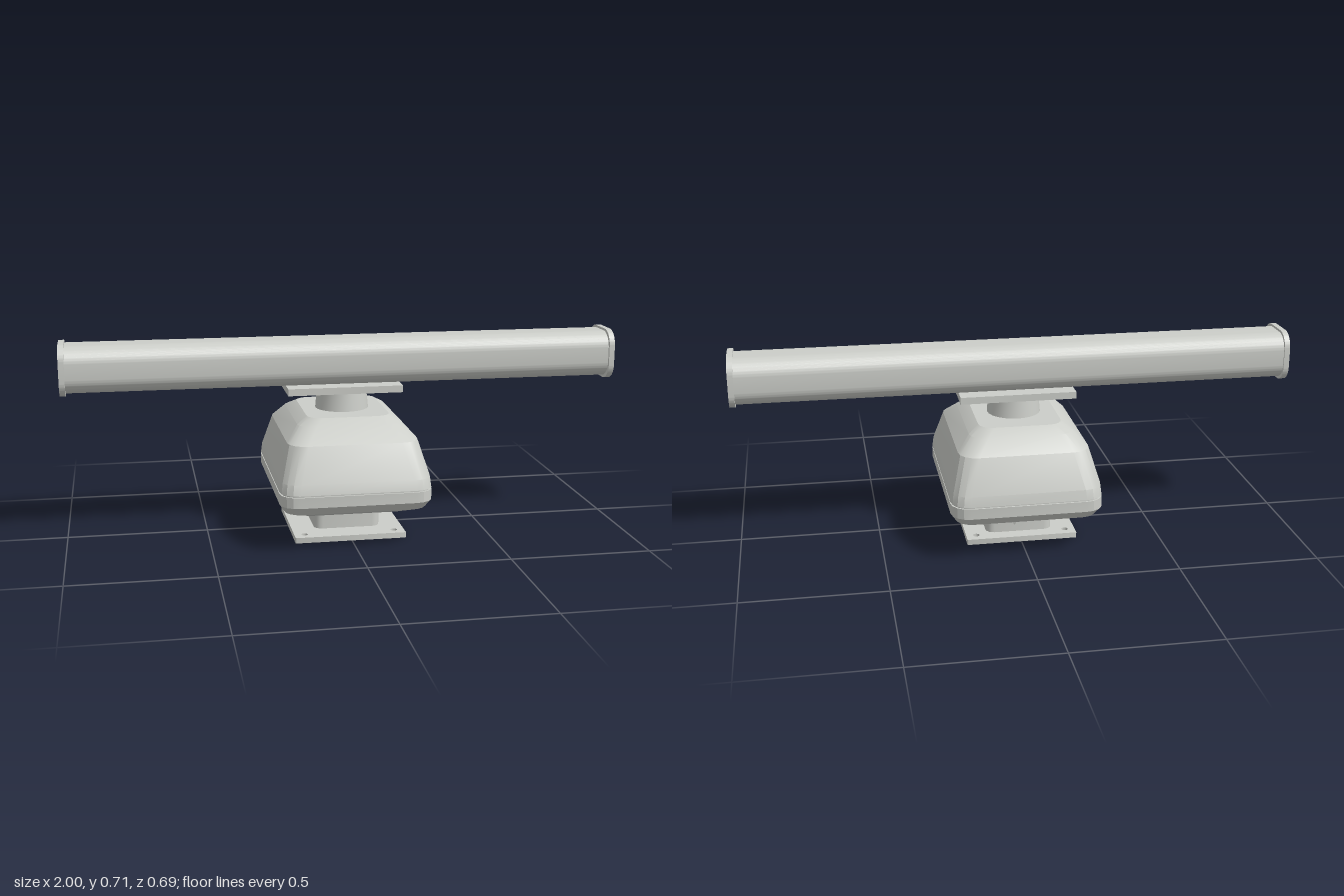
import * as THREE from 'three';
import { toCreasedNormals } from 'three/addons/utils/BufferGeometryUtils.js';

const paint = new THREE.MeshStandardMaterial({ color: 0xcccec9 });
paint.name = 'lightGreyPaint';

function add(parent, name, geometry, x = 0, y = 0, z = 0, crease = 0.5) {
  const mesh = new THREE.Mesh(toCreasedNormals(geometry, crease), paint);
  mesh.name = name;
  mesh.position.set(x, y, z);
  parent.add(mesh);
  return mesh;
}

// Rounded rectangle centred on the origin, half sizes a and b
function roundedRect(a, b, r) {
  const s = new THREE.Shape();
  s.absarc(a - r, b - r, r, 0, Math.PI / 2);
  s.absarc(r - a, b - r, r, Math.PI / 2, Math.PI);
  s.absarc(r - a, r - b, r, Math.PI, Math.PI * 1.5);
  s.absarc(a - r, r - b, r, Math.PI * 1.5, Math.PI * 2);
  s.closePath();
  return s;
}

// Closed loft through rounded rectangles: [y, halfX, zFront, zBack, radius]
function loft(rings, seg = 4) {
  const pos = [], index = [], n = 4 * (seg + 1);
  for (const [y, hx, zf, zb, r] of rings) {
    const hz = (zf - zb) / 2, cz = (zf + zb) / 2;
    for (let q = 0; q < 4; q++) {
      const sx = q === 0 || q === 3 ? 1 : -1, sz = q < 2 ? -1 : 1;
      for (let i = 0; i <= seg; i++) {
        const t = (q + i / seg) * Math.PI / 2;
        pos.push(sx * (hx - r) + r * Math.cos(t), y, cz + sz * (hz - r) - r * Math.sin(t));
      }
    }
  }
  const last = (rings.length - 1) * n;
  for (let k = 0; k < last; k += n) {
    for (let i = 0; i < n; i++) {
      const a = k + i, b = k + (i + 1) % n;
      index.push(a, b, b + n, a, b + n, a + n);
    }
  }
  for (let i = 1; i < n - 1; i++) {
    index.push(0, i + 1, i, last, last + i, last + i + 1);
  }
  const g = new THREE.BufferGeometry();
  g.setAttribute('position', new THREE.Float32BufferAttribute(pos, 3));
  g.setIndex(index);
  return g;
}

function extrudeAlongX(shape, length) {
  return new THREE.ExtrudeGeometry(shape, { depth: length, bevelEnabled: false, curveSegments: 10 })
    .translate(0, 0, -length / 2).rotateY(Math.PI / 2);
}

export function createModel() {
  const model = new THREE.Group();
  model.name = 'radarScanner';

  // Base plate with four through holes
  const plate = roundedRect(0.2, 0.198, 0.004);
  for (const x of [-1, 1]) for (const y of [-1, 1]) {
    const hole = new THREE.Path();
    hole.absarc(x * 0.163, y * 0.161, 0.012, 0, Math.PI * 2, true);
    plate.holes.push(hole);
  }
  add(model, 'basePlate', new THREE.ExtrudeGeometry(plate, { depth: 0.02, bevelEnabled: false, curveSegments: 8 })
    .rotateX(-Math.PI / 2), -0.003, 0, 0.012);

  // Pedestal and cable gland at the back
  add(model, 'pedestal', loft([[0.02, 0.12, 0.117, -0.136, 0.03], [0.116, 0.12, 0.117, -0.136, 0.03]]));
  const gland = new THREE.Group();
  gland.name = 'cableGland';
  model.add(gland);
  add(gland, 'glandNut', new THREE.CylinderGeometry(0.02, 0.02, 0.028, 6).rotateX(Math.PI / 2), 0.005, 0.066, -0.147);
  add(gland, 'glandCollar', new THREE.CylinderGeometry(0.014, 0.014, 0.012, 12).rotateX(Math.PI / 2), 0.005, 0.066, -0.165, 0.6);

  // Gearbox housing: lower tray, recessed seam, upper cover
  add(model, 'housingTray', loft([
    [0.114, 0.188, 0.255, -0.254, 0.04],
    [0.14, 0.25, 0.325, -0.324, 0.06],
    [0.17, 0.268, 0.348, -0.347, 0.065],
    [0.208, 0.268, 0.348, -0.347, 0.065],
  ]), 0, 0, 0, 0.35);
  add(model, 'housingSeam', loft([
    [0.205, 0.262, 0.342, -0.341, 0.06],
    [0.218, 0.262, 0.342, -0.341, 0.06],
  ]));
  add(model, 'housingCover', loft([
    [0.214, 0.268, 0.348, -0.347, 0.065],
    [0.25, 0.264, 0.34, -0.341, 0.065],
    [0.37, 0.231, 0.28, -0.284, 0.065],
    [0.42, 0.186, 0.21, -0.232, 0.06],
    [0.443, 0.148, 0.17, -0.188, 0.05],
  ]), 0, 0, 0, 0.35);

  // Rotating neck and antenna mounting plate
  add(model, 'neck', new THREE.CylinderGeometry(0.09, 0.097, 0.07, 24), 0, 0.476, -0.009, 0.4);
  add(model, 'mountPlate', new THREE.BoxGeometry(0.415, 0.025, 0.215), -0.002, 0.5225, -0.009);
  for (const x of [-0.183, 0.179]) {
    add(model, 'mountBolt', new THREE.CylinderGeometry(0.009, 0.009, 0.016, 12), x, 0.505, -0.009, 0.6);
  }

  // Antenna bar with end caps
  add(model, 'antennaBar', extrudeAlongX(roundedRect(0.096, 0.083, 0.06), 1.97), 0, 0.618, -0.011);
  for (const side of [-1, 1]) {
    add(model, 'endCap', extrudeAlongX(roundedRect(0.103, 0.091, 0.058), 0.02), side * 0.99, 0.618, -0.009);
  }
  return model;
}
